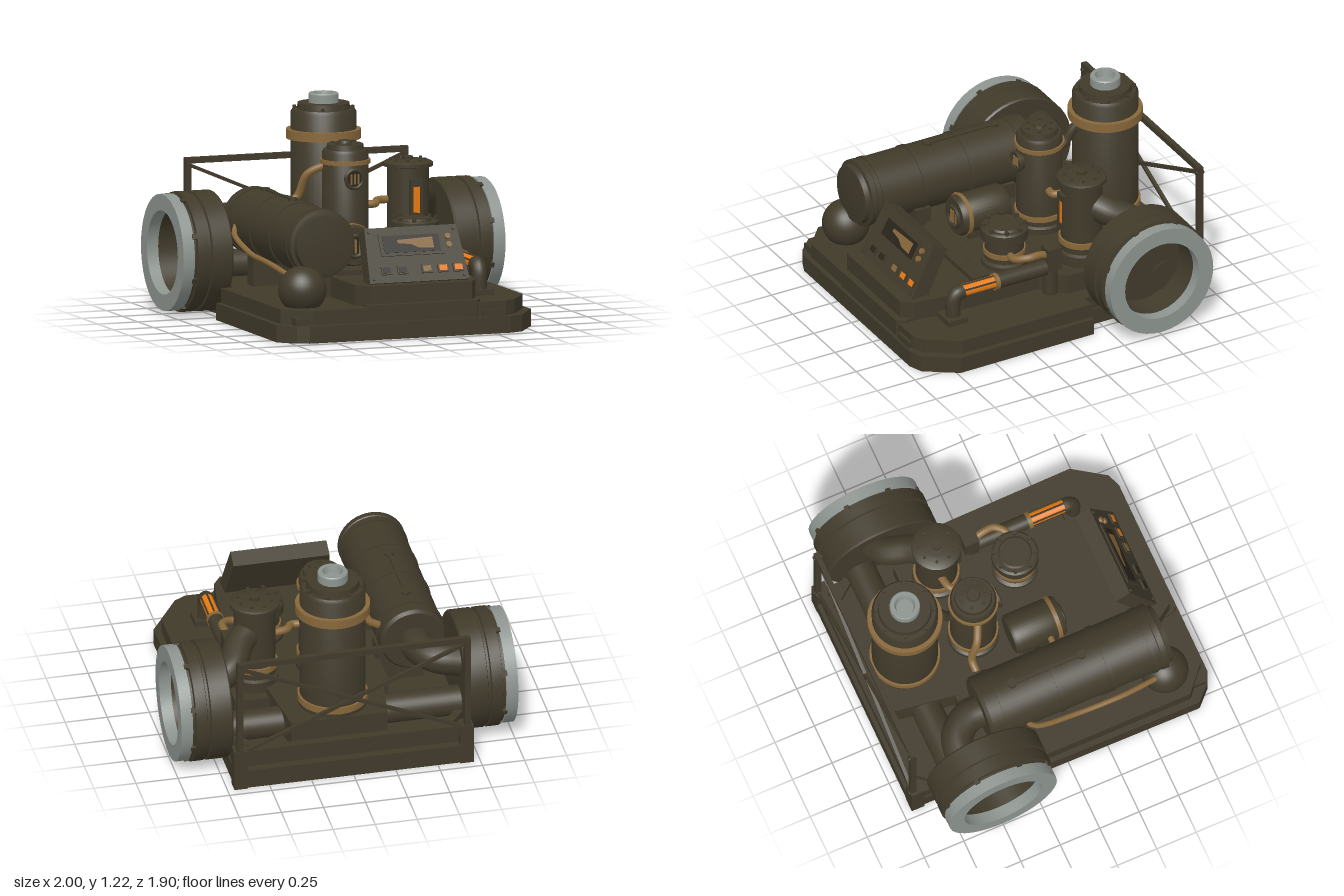
import * as THREE from 'three';
import { toCreasedNormals } from 'three/addons/utils/BufferGeometryUtils.js';

const mat = (name, hex) => {
  const m = new THREE.MeshStandardMaterial({ color: hex });
  m.name = name;
  return m;
};

export function createModel() {
  const model = new THREE.Group();
  const body = mat('oliveBrown', 0x403a2a);
  const gold = mat('dullBrass', 0x87673a);
  const steel = mat('paleSteel', 0x8d948f);
  const glow = mat('glowOrange', 0xe67a12);
  const dark = mat('darkGlass', 0x29251b);

  const add = (name, geo, m, pos = [0, 0, 0], rot = [0, 0, 0], parent = model) => {
    const mesh = new THREE.Mesh(geo, m);
    mesh.name = name;
    mesh.position.set(...pos);
    mesh.rotation.set(...rot);
    parent.add(mesh);
    return mesh;
  };
  const box = (name, w, h, d, pos, m = body, parent = model, rot) =>
    add(name, new THREE.BoxGeometry(w, h, d), m, pos, rot, parent);
  const cyl = (name, r, h, pos, m = body, rot, parent = model, seg = 32) =>
    add(name, new THREE.CylinderGeometry(r, r, h, seg), m, pos, rot, parent);
  const lathe = (name, pts, m, pos, rot) => add(name,
    toCreasedNormals(new THREE.LatheGeometry(pts.map(p => new THREE.Vector2(...p)), 40), 0.6), m, pos, rot);
  const tube = (name, pts, r, m = gold) => add(name, new THREE.TubeGeometry(
    new THREE.CatmullRomCurve3(pts.map(p => new THREE.Vector3(...p))), 24, r, 14), m);
  // Flat slab from an x/z outline
  const slab = (name, outline, y0, y1) => {
    const s = new THREE.Shape(outline.map(([x, z]) => new THREE.Vector2(x, -z)));
    const g = new THREE.ExtrudeGeometry(s, { depth: y1 - y0, bevelEnabled: false });
    return add(name, g.rotateX(-Math.PI / 2), body, [0, y0, 0]);
  };
  // Straight bar between two points
  const bar = (name, a, b, t) => {
    const A = new THREE.Vector3(...a), B = new THREE.Vector3(...b);
    const mesh = box(name, t, t, A.distanceTo(B), [0, 0, 0]);
    mesh.position.copy(A).add(B).multiplyScalar(0.5);
    mesh.lookAt(B);
  };
  const bolts = (name, n, ring, r, h, c) => {
    for (let i = 0; i < n; i++) {
      const a = (i + 0.5) / n * Math.PI * 2;
      cyl(name, r, h, [c[0] + Math.cos(a) * ring, c[1], c[2] + Math.sin(a) * ring], body, undefined, model, 8);
    }
  };
  const alongZ = [Math.PI / 2, 0, 0];

  // Stepped base, narrower between the side drums, with a raised central deck
  slab('basePlate', [[0.7, -0.94], [0.7, -0.16], [0.8, -0.16], [0.81, 0.73], [0.68, 0.92], [0.6, 0.95],
    [-0.65, 0.95], [-0.72, 0.92], [-0.81, 0.83], [-0.8, -0.16], [-0.7, -0.16], [-0.7, -0.94]], 0, 0.1);
  slab('baseStep', [[0.69, -0.9], [0.69, -0.16], [0.77, -0.16], [0.77, 0.7], [0.65, 0.88], [0.58, 0.92],
    [-0.62, 0.92], [-0.77, 0.79], [-0.77, -0.16], [-0.69, -0.16], [-0.69, -0.9]], 0.1, 0.185);
  slab('deck', [[-0.31, -0.48], [0.6, -0.48], [0.6, -0.1], [0.47, 0.02], [0.46, 0.6], [0.43, 0.82], [0.38, 0.89],
    [-0.25, 0.89], [-0.31, 0.8]], 0.185, 0.305);
  slab('deckFront', [[-0.28, 0.6], [0.43, 0.6], [0.43, 0.89], [0.4, 0.93], [-0.25, 0.93], [-0.28, 0.89]], 0.1, 0.2);
  slab('machinePad', [[-0.31, -0.48], [0.4, -0.48], [0.4, 0.42], [-0.23, 0.42], [-0.31, 0.3]], 0.305, 0.335);
  for (const z of [0.36, -0.2]) box('tankCradle', 0.28, 0.26, 0.1, [-0.43, 0.3, z]);
  box('footBracket', 0.14, 0.14, 0.13, [0.5, 0.07, 0.872]);
  box('footBracket', 0.1, 0.14, 0.12, [-0.67, 0.07, 0.85]);
  for (let i = 0; i < 3; i++) cyl('deckBolt', 0.014, 0.02, [0.05 + i * 0.155, 0.33, 0.31 + i * 0.035], body, undefined, model, 8);

  // Rear plinth and frame
  slab('plinth', [[-0.22, -0.85], [0.35, -0.85], [0.4, -0.45], [-0.28, -0.45]], 0.185, 0.345);
  box('rearBeam', 1.4, 0.06, 0.05, [0, 0.215, -0.91]);
  box('rearSill', 1.42, 0.1, 0.05, [0, 0.07, -0.925]);
  box('topRail', 1.38, 0.035, 0.03, [0, 0.825, -0.93]);
  for (const s of [-1, 1]) {
    box('framePost', 0.035, 0.74, 0.035, [s * 0.675, 0.47, -0.93]);
    box('frameFoot', 0.08, 0.25, 0.08, [s * 0.67, 0.125, -0.91]);
    for (const y of [0.8, 0.23]) cyl('framePin', 0.014, 0.05, [s * 0.675, y, -0.93], body, alongZ, model, 10);
    bar('frameBrace', [s * 0.67, 0.8, -0.93], [-s * 0.67, 0.23, -0.93], 0.02);
    bar('frameGusset', [s * 0.67, 0.21, -0.74], [s * 0.56, 0.21, -0.88], 0.05);
  }

  // Side drums with steel rims
  for (const s of [-1, 1]) {
    const pos = [0, 0.36, -0.5], rot = [0, 0, -s * Math.PI / 2];
    lathe('sideDrum', [[0, 0.69], [0.34, 0.69], [0.35, 0.7], [0.35, 0.82], [0.335, 0.825], [0.335, 0.84], [0.35, 0.845],
      [0.35, 0.91], [0.33, 0.915], [0.33, 0.935], [0.25, 0.935], [0.245, 0.76], [0, 0.76]], body, pos, rot);
    lathe('drumRim', [[0.25, 0.93], [0.34, 0.93], [0.34, 1], [0.245, 1], [0.245, 0.93]], steel, pos, rot);
    cyl('drumDuct', 0.09, 0.01, [s * 0.765, 0.24, -0.65], body, rot);
    cyl('drumDuct', 0.09, 0.01, [s * 0.765, 0.5, -0.53], body, rot);
    for (let i = 0; i < 8; i++) {
      const a = (i + 0.5) / 8 * Math.PI * 2;
      box('drumClip', 0.04, 0.03, 0.03, [s * 0.918, 0.36 + Math.sin(a) * 0.333, -0.5 + Math.cos(a) * 0.333], body, model, [-a, 0, 0]);
    }
  }
  cyl('crossPipe', 0.09, 1.4, [0, 0.245, -0.65], body, [0, 0, Math.PI / 2]);

  // Tall rear tower
  lathe('tower', [[0, 0.34], [0.2, 0.34], [0.2, 0.37], [0.192, 0.38], [0.192, 1.11], [0.18, 1.13], [0.155, 1.13],
    [0.15, 1.165], [0.1, 1.165], [0, 1.165]], body, [0.06, 0, -0.65]);
  for (const [y, h, r] of [[0.985, 0.055, 0.218], [0.39, 0.04, 0.205]]) cyl('towerBand', r, h, [0.06, y, -0.65], gold, undefined, model, 40);
  lathe('towerCap', [[0.088, 1.16], [0.088, 1.215], [0.082, 1.222], [0.06, 1.222], [0.05, 1.18], [0, 1.18]], steel, [0.06, 0, -0.65]);
  bolts('towerBolt', 8, 0.168, 0.011, 0.02, [0.06, 1.138, -0.65]);

  // Middle tower with round grille
  lathe('midTower', [[0, 0.3], [0.15, 0.3], [0.15, 0.37], [0.135, 0.38], [0.135, 0.93], [0.125, 0.95], [0.11, 0.95],
    [0.105, 0.98], [0.04, 0.985], [0.035, 1], [0, 1]], body, [0.03, 0, -0.23]);
  cyl('midTowerBand', 0.146, 0.025, [0.03, 0.88, -0.23], gold);
  cyl('midTowerBand', 0.146, 0.03, [0.03, 0.43, -0.23], gold);
  bolts('midTowerBolt', 6, 0.075, 0.011, 0.02, [0.03, 0.982, -0.23]);
  cyl('grilleHousing', 0.055, 0.06, [0.03, 0.79, -0.112], body, alongZ);
  add('grilleRing', new THREE.TorusGeometry(0.053, 0.011, 8, 28), body, [0.03, 0.79, -0.08]);
  cyl('grilleGlass', 0.043, 0.006, [0.03, 0.79, -0.08], dark, alongZ);
  for (let i = -1; i <= 1; i++) box('grilleSlat', 0.01, 0.06, 0.008, [0.03 + i * 0.022, 0.79, -0.075], gold);

  // Gauge tower with a recessed glowing strip
  lathe('gaugeTower', [[0, 0.3], [0.14, 0.3], [0.14, 0.37], [0.122, 0.38], [0.122, 0.82], [0.146, 0.825], [0.146, 0.845],
    [0.13, 0.855], [0.06, 0.86], [0.03, 0.862], [0.03, 0.88], [0, 0.88]], body, [0.44, 0, -0.28]);
  cyl('gaugeTowerBand', 0.135, 0.035, [0.44, 0.44, -0.28], gold);
  bolts('gaugeTowerBolt', 8, 0.1, 0.009, 0.02, [0.44, 0.86, -0.28]);
  for (const s of [-1, 1]) {
    box('gaugeFrameSide', 0.016, 0.24, 0.035, [0.44 + s * 0.03, 0.64, -0.155]);
    box('gaugeFrameEnd', 0.046, 0.042, 0.035, [0.44, 0.64 + s * 0.098, -0.155]);
  }
  box('gaugeGlow', 0.046, 0.156, 0.008, [0.44, 0.64, -0.15], glow);

  // Short pressure pot
  lathe('pressurePot', [[0, 0.3], [0.135, 0.3], [0.135, 0.36], [0.115, 0.37], [0.115, 0.5], [0.138, 0.505], [0.138, 0.565],
    [0.125, 0.575], [0.1, 0.575], [0.09, 0.585], [0, 0.585]], body, [0.31, 0, 0.16]);
  cyl('potBand', 0.124, 0.03, [0.31, 0.42, 0.16], gold);
  bolts('potBolt', 8, 0.118, 0.013, 0.03, [0.31, 0.58, 0.16]);

  // Small motor lying front to back
  lathe('motor', [[0, -0.06], [0.11, -0.06], [0.122, -0.04], [0.122, 0.24], [0.11, 0.26], [0.05, 0.26], [0, 0.26]], body, [-0.1, 0.45, 0], alongZ);
  cyl('motorBand', 0.128, 0.025, [-0.1, 0.45, 0.215], gold, alongZ);
  box('motorFoot', 0.2, 0.1, 0.24, [-0.1, 0.36, 0.1]);
  add('motorGrilleRing', new THREE.TorusGeometry(0.06, 0.013, 8, 28), body, [-0.1, 0.45, 0.265]);
  cyl('motorGrille', 0.05, 0.008, [-0.1, 0.45, 0.262], dark, alongZ);
  for (let i = -1; i <= 1; i++) box('motorSlat', 0.012, 0.08, 0.008, [-0.1 + i * 0.028, 0.45, 0.268], gold);

  // Large horizontal tank and its duct
  lathe('tank', [[0, -0.42], [0.18, -0.42], [0.195, -0.4], [0.195, 0.66], [0.2, 0.665], [0.2, 0.7], [0.178, 0.705],
    [0.172, 0.735], [0.1, 0.742], [0, 0.745]], body, [-0.475, 0.54, 0], alongZ);
  for (const z of [-0.31, 0.035, 0.35, 0.62]) cyl('tankHoop', 0.201, 0.025, [-0.475, 0.54, z], body, alongZ, model, 40);
  box('tankRidge', 0.02, 0.02, 0.44, [-0.475, 0.735, 0.01]);
  for (const z of [-0.21, 0.23]) cyl('tankStud', 0.027, 0.03, [-0.475, 0.735, z]);
  tube('tankDuct', [[-0.48, 0.53, -0.38], [-0.49, 0.53, -0.5], [-0.57, 0.52, -0.6], [-0.72, 0.5, -0.63]], 0.095, body);
  tube('gaugeDuct', [[0.46, 0.68, -0.3], [0.55, 0.64, -0.38], [0.63, 0.57, -0.52], [0.72, 0.52, -0.57]], 0.085, body);

  // Front reservoir ball
  add('reservoirBall', new THREE.SphereGeometry(0.14, 32, 20), body, [-0.6, 0.28, 0.7]);

  // Tilted control console
  const con = new THREE.Group();
  con.name = 'console';
  con.position.set(0.085, 0.46, 0.74);
  con.rotation.x = -0.49;
  model.add(con);
  const face = new THREE.Shape([[-0.31, -0.17], [0.31, -0.17], [0.285, 0.17], [-0.285, 0.17]].map(p => new THREE.Vector2(...p)));
  add('consoleBody', new THREE.ExtrudeGeometry(face, { depth: 0.1, bevelEnabled: false }), body, [0, 0, -0.1], undefined, con);
  box('screenFrame', 0.39, 0.14, 0.009, [-0.015, 0.062, 0.003], body, con);
  box('screen', 0.35, 0.105, 0.009, [-0.015, 0.062, 0.006], dark, con);
  const trace = new THREE.Shape([[-0.1, 0.025], [0.12, 0.035], [0.12, -0.035], [0.03, -0.03], [-0.02, -0.005], [-0.1, 0.005]].map(p => new THREE.Vector2(...p)));
  add('screenTrace', new THREE.ShapeGeometry(trace), gold, [0, 0.062, 0.012], undefined, con);
  [dark, dark, gold, glow, glow].forEach((m, i) => {
    const x = [-0.195, -0.095, 0.055, 0.155, 0.25][i];
    box('buttonFrame', 0.066, 0.052, 0.012, [x, -0.096, 0.004], body, con);
    box('button', 0.048, 0.034, 0.008, [x, -0.096, 0.009], m, con);
  });
  for (const y of [0.096, 0.045]) cyl('knob', 0.017, 0.02, [0.215, y, 0.006], gold, alongZ, con, 16);
  for (const x of [-0.28, 0.28]) for (const y of [-0.145, 0.145])
    cyl('consoleScrew', 0.01, 0.012, [x * (y > 0 ? 0.94 : 1), y, 0.003], body, alongZ, con, 8);

  // Glowing tube on the right, carried by posts on the lower ledge
  cyl('glowTube', 0.038, 0.22, [0.53, 0.36, 0.46], glow, alongZ);
  for (let i = 0; i < 6; i++) {
    const a = (i + 0.5) * Math.PI / 3;
    cyl('glowTubeRod', 0.006, 0.22, [0.53 + Math.cos(a) * 0.038, 0.36 + Math.sin(a) * 0.038, 0.46], body, alongZ, model, 6);
  }
  cyl('tubeHolder', 0.046, 0.33, [0.53, 0.36, 0.18], body, alongZ);
  cyl('tubeHolderBand', 0.05, 0.025, [0.53, 0.36, 0.345], gold, alongZ);
  tube('tubeElbow', [[0.53, 0.36, 0.56], [0.53, 0.355, 0.595], [0.53, 0.32, 0.62], [0.53, 0.19, 0.625]], 0.044, body);
  box('tubeFoot', 0.14, 0.04, 0.13, [0.53, 0.2, 0.625]);
  box('tubeRearBlock', 0.09, 0.14, 0.09, [0.53, 0.42, -0.03]);
  cyl('tubeRearPost', 0.044, 0.2, [0.53, 0.28, -0.02]);

  // Brass hoses
  tube('tankHose', [[-0.28, 0.63, -0.35], [-0.22, 0.67, -0.35], [-0.18, 0.8, -0.3], [-0.08, 0.86, -0.25]], 0.023);
  tube('towerLink', [[0.15, 0.62, -0.22], [0.21, 0.62, -0.22], [0.25, 0.63, -0.28], [0.33, 0.63, -0.3]], 0.023);
  tube('potHose', [[0.41, 0.43, 0.18], [0.48, 0.44, 0.19], [0.54, 0.46, 0.13], [0.54, 0.46, 0.06], [0.53, 0.44, 0.0]], 0.022);
  tube('motorHose', [[-0.2, 0.47, 0.15], [-0.26, 0.47, 0.15], [-0.32, 0.46, 0.15]], 0.018);
  tube('sideHose', [[-0.66, 0.54, -0.2], [-0.69, 0.5, -0.15], [-0.69, 0.42, 0.1], [-0.69, 0.4, 0.4], [-0.66, 0.36, 0.62]], 0.016);
  tube('rearHose', [[0.03, 0.8, -0.35], [0.03, 0.83, -0.4], [0.04, 0.9, -0.44], [0.05, 0.95, -0.48]], 0.028, body);
  return model;
}
